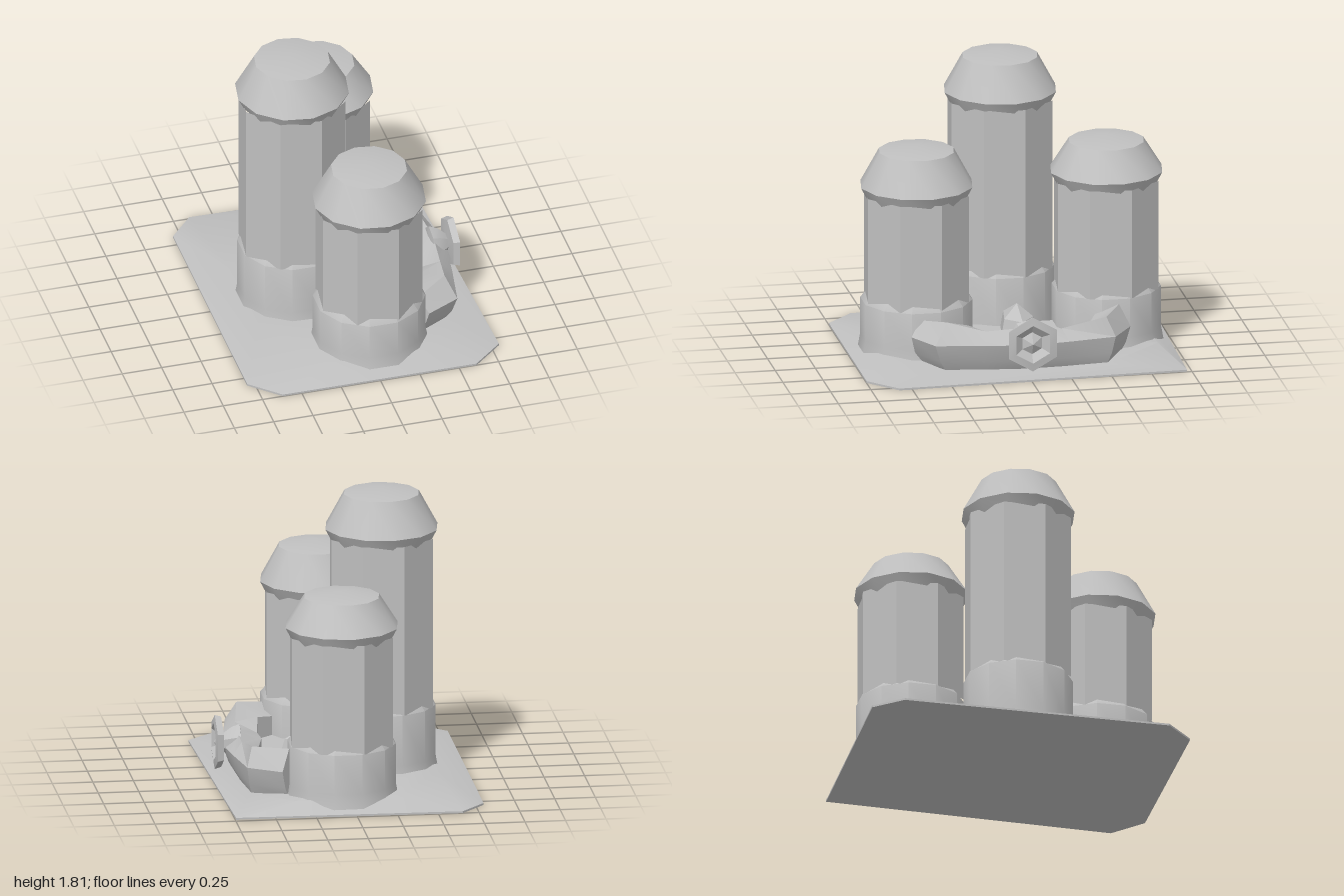
import * as THREE from 'three';
import { toCreasedNormals } from 'three/addons/utils/BufferGeometryUtils.js';

const stone = new THREE.MeshStandardMaterial({ color: 0xc0c0c0 });
stone.name = 'stone grey';

function part(name, geometry, crease = 0.7) {
  const mesh = new THREE.Mesh(toCreasedNormals(geometry, crease), stone);
  mesh.name = name;
  return mesh;
}

// Faceted turned solid; profile pairs are [radius, height], bottom to top
function turned(name, profile, sides, phase = 0, crease = 0.7) {
  const pts = profile.map(([r, y]) => new THREE.Vector2(r, y));
  return part(name, new THREE.LatheGeometry(pts, sides, phase), crease);
}

// Skin over rings of equal point count; rings run so that faces point outward
function loft(rings, closeRing, capEnds) {
  const n = rings[0].length, pos = rings.flat(2), index = [];
  for (let i = 0; i < rings.length - 1; i++) {
    for (let j = 0; j < (closeRing ? n : n - 1); j++) {
      const k = (j + 1) % n, a = i * n + j, b = i * n + k, c = a + n, d = b + n;
      index.push(a, b, d, a, d, c);
    }
  }
  if (capEnds) {
    const last = (rings.length - 1) * n;
    for (let j = 1; j < n - 1; j++) {
      index.push(0, j + 1, j, last, last + j, last + j + 1);
    }
  }
  const g = new THREE.BufferGeometry();
  g.setAttribute('position', new THREE.Float32BufferAttribute(pos, 3));
  g.setIndex(index);
  return g;
}

// Column: smooth footing, eight-sided shaft and overhanging domed cap
function column(name, x, z, footTop, capBase, top, footRadius) {
  const group = new THREE.Group();
  group.name = name;
  group.position.set(x, 0, z);
  group.add(
    turned('footing', [[0, 0.01], [footRadius + 0.02, 0.01], [footRadius, 0.12],
      [footRadius, footTop - 0.06], [footRadius - 0.05, footTop], [0, footTop]], 12, 0.26),
    turned('shaft', [[0.335, footTop - 0.06], [0.335, capBase + 0.03]], 8, 0.3, 0.5),
    turned('cap', [[0, capBase], [0.31, capBase], [0.352, capBase + 0.08],
      [0.235, top - 0.035], [0, top]], 12, 0.1),
  );
  return group;
}

// Ground slab rising gently toward the columns
function slab() {
  const rim = [[-0.8, 0.83], [-0.62, 1], [0.61, 1], [0.8, 0.83],
    [0.745, -0.97], [0.7, -0.97], [-0.65, -1], [-0.8, -0.83]];
  const crown = [[-0.58, 0.3], [-0.27, 0.84], [0.36, 0.86], [0.6, 0.5],
    [0.6, -0.5], [0.36, -0.86], [-0.27, -0.84], [-0.58, -0.3]];
  const at = (pts, y) => pts.map(([x, z], i) => [x, typeof y === 'number' ? y : y(i), z]);
  return loft([at(rim, 0), at(rim, 0.012),
    at(crown, (i) => (i === 3 || i === 4 ? 0.035 : 0.075))], true, true);
}

// Curved basin wall: bulging six-point section swept round the front
function basinWall() {
  const path = [ // outer x, outer z, inner x, inner z, top height
    [0.4, 0.68, 0.25, 0.5, 0.3], [0.61, 0.57, 0.44, 0.34, 0.34],
    [0.66, 0.28, 0.46, 0.2, 0.28], [0.7, 0, 0.46, 0, 0.3],
    [0.67, -0.25, 0.5, -0.15, 0.28], [0.62, -0.55, 0.52, -0.4, 0.33],
    [0.42, -0.68, 0.28, -0.5, 0.34],
  ];
  const rings = path.map(([ox, oz, ix, iz, top]) => {
    const p = (t, y) => [ix + (ox - ix) * t, y, iz + (oz - iz) * t];
    return [p(0, 0.04), p(0.7, 0.04), p(0.85, 0.1), p(1, 0.21), p(0.65, top), p(0, top - 0.06)];
  });
  return loft(rings.reverse(), true, true);
}

export function createModel() {
  const model = new THREE.Group();
  model.name = 'columnFountain';

  model.add(part('groundSlab', slab(), 0.6));
  model.add(column('tallColumn', -0.28, 0, 0.5, 1.48, 1.81, 0.335));
  model.add(column('frontColumn', 0.045, 0.582, 0.41, 1.0, 1.33, 0.345));
  model.add(column('backColumn', 0.045, -0.6, 0.43, 1.03, 1.33, 0.335));

  // Basin floor and wall
  const floor = part('basinFloor', new THREE.BoxGeometry(0.55, 0.1, 0.9));
  floor.position.set(0.26, 0.09, 0);
  model.add(floor, part('basinWall', basinWall(), 0.45));

  // Rough rock spilling from the tall column into the basin
  const rock = turned('spillRock', [[0.2, 0.08], [0.15, 0.24], [0, 0.32]], 5, 0.4, 0.3);
  rock.position.set(0.17, 0, -0.02);
  rock.scale.z = 0.65;
  model.add(rock);

  // Hollow faceted medallion on a tapering boss
  const medallion = new THREE.Group();
  medallion.name = 'medallion';
  medallion.position.set(0, 0.23, -0.01);
  medallion.rotation.z = -Math.PI / 2;
  medallion.add(
    turned('boss', [[0, 0.58], [0.12, 0.6], [0.1, 0.65], [0.05, 0.71]], 7, 0, 0.3),
    turned('dish', [[0.04, 0.7], [0.16, 0.71], [0.172, 0.75], [0.12, 0.757],
      [0.07, 0.72], [0, 0.755]], 6, Math.PI / 2, 0.3),
  );
  model.add(medallion);
  return model;
}
